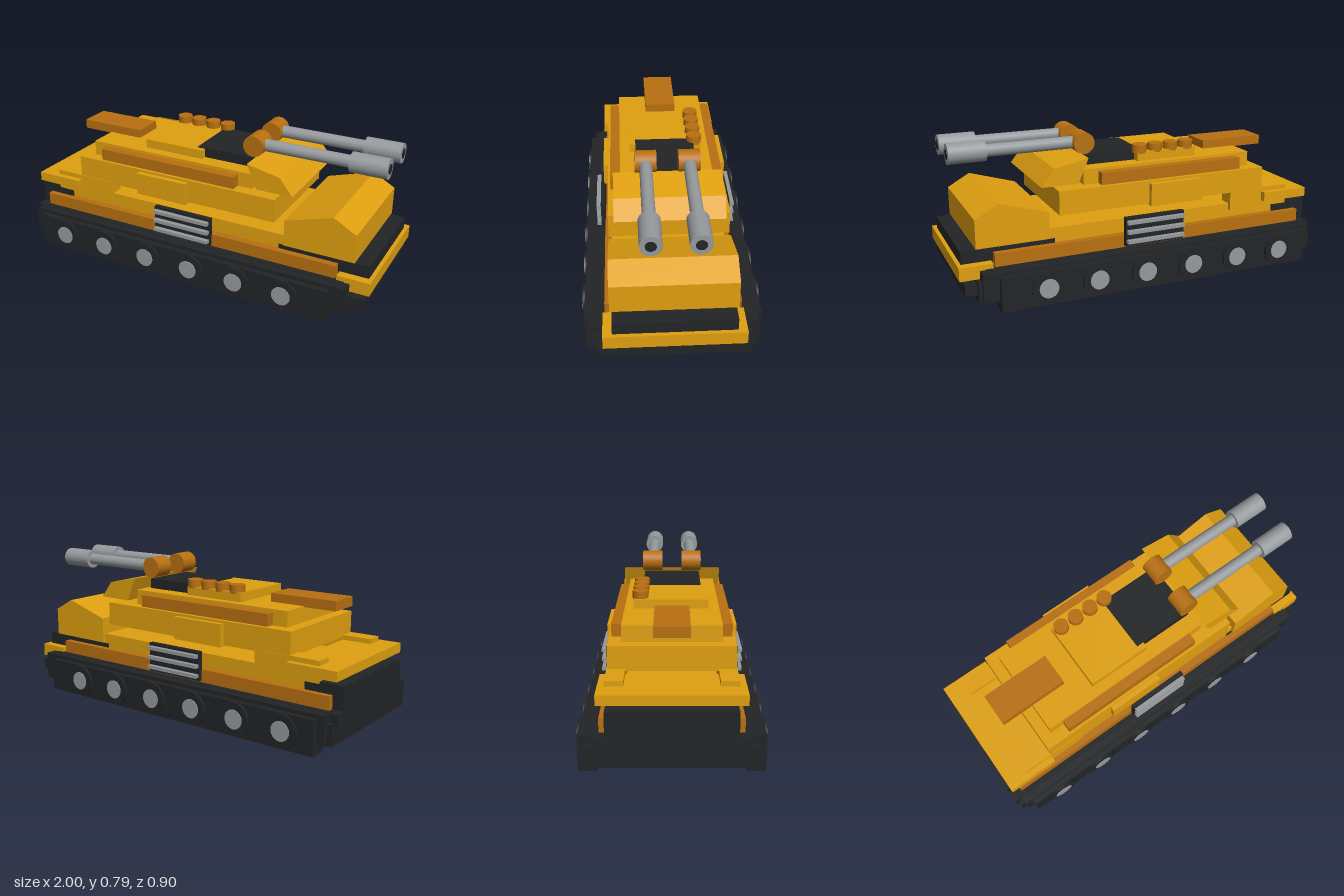
import * as THREE from 'three';

const mat = (color) => new THREE.MeshStandardMaterial({ color });

export function createModel() {
  const tank = new THREE.Group();
  tank.name = 'tank';
  const yellow = mat(0xe0a010), orange = mat(0xb87010), dark = mat(0x222426), grey = mat(0x969a9c);

  const add = (name, geometry, material) => {
    const mesh = new THREE.Mesh(geometry, material);
    mesh.name = name;
    tank.add(mesh);
    return mesh;
  };
  // Box given by its limits on each axis
  const box = (name, material, x0, x1, y0, y1, z0, z1) =>
    add(name, new THREE.BoxGeometry(x1 - x0, y1 - y0, z1 - z0), material)
      .position.set((x0 + x1) / 2, (y0 + y1) / 2, (z0 + z1) / 2);
  // Box spanning the full width
  const slab = (name, material, x0, x1, y0, y1, halfZ) =>
    box(name, material, x0, x1, y0, y1, -halfZ, halfZ);
  // Pair of boxes mirrored left and right
  const pair = (name, material, x0, x1, y0, y1, z0, z1) => {
    box(name, material, x0, x1, y0, y1, z0, z1);
    box(name, material, x0, x1, y0, y1, -z1, -z0);
  };
  // Cylinder along a chosen axis
  const rod = (name, material, axis, r, length, x, y, z) => {
    const g = new THREE.CylinderGeometry(r, r, length, 32);
    if (axis === 'x') g.rotateZ(-Math.PI / 2);
    if (axis === 'z') g.rotateX(Math.PI / 2);
    add(name, g, material).position.set(x, y, z);
  };
  // Side profile extruded across the width
  const wedge = (name, material, points, halfZ) => {
    const shape = new THREE.Shape(points.map(([x, y]) => new THREE.Vector2(x, y)));
    const g = new THREE.ExtrudeGeometry(shape, { depth: 2 * halfZ, bevelEnabled: false });
    g.translate(0, 0, -halfZ);
    add(name, g, material);
  };

  // Lower chassis
  slab('chassis', dark, -0.99, 0.92, 0.05, 0.155, 0.385);
  slab('upperChassis', dark, -1, 0.87, 0.1, 0.2, 0.36);
  slab('frontBumper', dark, 0.9, 0.98, 0.08, 0.138, 0.36);
  slab('rearBlock', dark, -1, -0.79, 0.19, 0.32, 0.3);
  slab('frontPlate', yellow, 0.83, 1, 0.155, 0.225, 0.34);
  slab('noseBase', dark, 0.5, 0.98, 0.225, 0.29, 0.295);

  // Tracks and wheels
  pair('track', dark, -0.92, 0.82, 0, 0.178, 0.343, 0.432);
  pair('trackGuard', dark, -0.96, 0.9, 0.05, 0.198, 0.343, 0.404);
  for (const s of [-1, 1]) {
    for (let i = 0; i < 6; i++) {
      const x = -0.75 + i * 0.267;
      rod('wheel', dark, 'z', 0.086, 0.03, x, 0.092, s * 0.43);
      rod('wheelHub', grey, 'z', 0.05, 0.03, x, 0.092, s * 0.434);
    }
  }

  // Hull and skirts
  slab('hull', yellow, -0.79, 0.56, 0.2, 0.345, 0.29);
  pair('skirt', orange, -0.94, 0.82, 0.2, 0.268, 0.285, 0.33);
  slab('rearDeck', yellow, -0.98, -0.71, 0.345, 0.395, 0.34);
  pair('rearSideBlock', yellow, -0.87, -0.51, 0.31, 0.42, 0.22, 0.308);
  wedge('nose', yellow,
    [[0.53, 0.295], [0.905, 0.295], [0.905, 0.445], [0.785, 0.512], [0.53, 0.435]], 0.305);

  // Side vents
  pair('vent', dark, -0.2, 0.135, 0.21, 0.365, 0.327, 0.352);
  for (const y of [0.237, 0.289, 0.341])
    pair('ventBar', grey, -0.195, 0.13, y - 0.009, y + 0.009, 0.34, 0.376);

  // Turret
  slab('turretBase', yellow, -0.71, 0.475, 0.41, 0.535, 0.305);
  pair('turretSideBox', yellow, -0.32, -0.02, 0.403, 0.522, 0.26, 0.332);
  slab('turretTop', yellow, -0.65, 0.32, 0.535, 0.615, 0.24);
  pair('turretRail', orange, -0.57, 0.24, 0.537, 0.6, 0.235, 0.292);
  box('roofPlate', yellow, -0.345, 0, 0.61, 0.662, -0.195, 0.185);
  slab('hatch', dark, -0.04, 0.295, 0.61, 0.668, 0.155);
  slab('rearPanel', orange, -0.825, -0.455, 0.61, 0.66, 0.085);
  wedge('turretVisor', yellow,
    [[0.36, 0.555], [0.555, 0.555], [0.485, 0.645], [0.305, 0.682]], 0.275);
  for (let i = 0; i < 4; i++)
    rod('roofStud', orange, 'y', 0.04, 0.045, -0.3 + i * 0.091, 0.6765, -0.16);

  // Twin cannons
  for (const z of [-0.11, 0.11]) {
    rod('cannonPivot', orange, 'z', 0.056, 0.11, 0.285, 0.731, z);
    rod('barrel', grey, 'x', 0.032, 0.5, 0.55, 0.731, z);
    rod('muzzle', grey, 'x', 0.052, 0.19, 0.885, 0.731, z);
    rod('bore', dark, 'x', 0.026, 0.02, 0.973, 0.731, z);
  }
  return tank;
}
